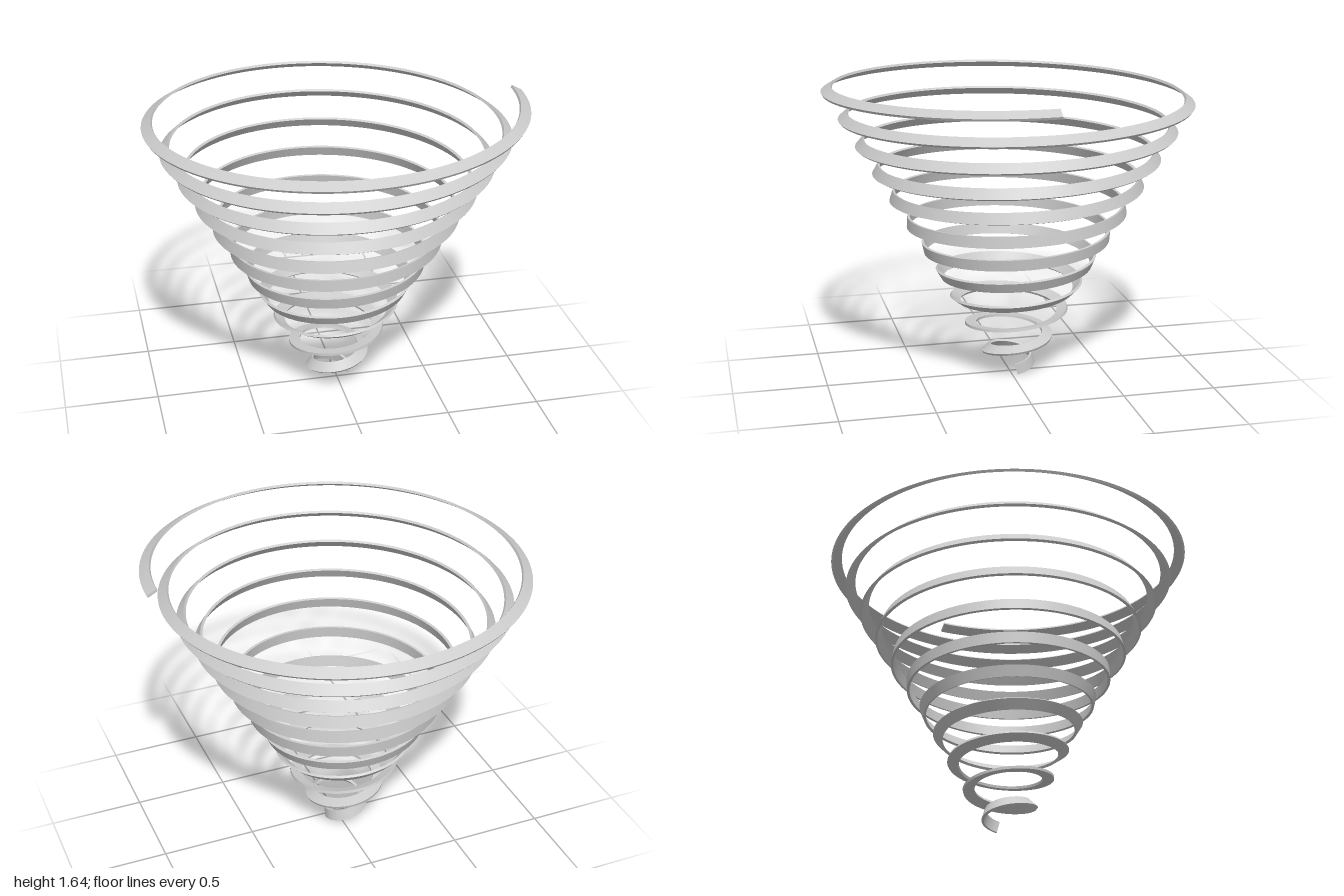
import * as THREE from 'three';
import { toCreasedNormals } from 'three/addons/utils/BufferGeometryUtils.js';

const TURNS = 11, R0 = 0.088, R1 = 0.99, Y0 = 0.03, Y1 = 1.62;
const STRIP_WIDTH = 0.06, STRIP_THICKNESS = 0.014;

// Conical helix, counterclockwise from above, widening as it climbs
class ConicalHelix extends THREE.Curve {
  getPoint(t, target = new THREE.Vector3()) {
    const angle = t * TURNS * Math.PI * 2;
    const r = THREE.MathUtils.lerp(R0, R1, t);
    return target.set(
      r * Math.cos(angle) - 0.021,
      THREE.MathUtils.lerp(Y0, Y1, t),
      -r * Math.sin(angle) - 0.021
    );
  }
}

export function createModel() {
  const group = new THREE.Group();
  group.name = 'conicalSpring';

  const path = new ConicalHelix();
  path.arcLengthDivisions = 4000;

  // Flat strip section; it starts upright and twists slowly along the path
  const w = STRIP_THICKNESS / 2, h = STRIP_WIDTH / 2;
  const section = new THREE.Shape([
    new THREE.Vector2(-w, -h), new THREE.Vector2(w, -h),
    new THREE.Vector2(w, h), new THREE.Vector2(-w, h)
  ]);
  const geometry = new THREE.ExtrudeGeometry(section, { steps: 1600, extrudePath: path });

  const coil = new THREE.Mesh(
    toCreasedNormals(geometry, 0.6),
    new THREE.MeshStandardMaterial({ color: 0xcccccc })
  );
  coil.name = 'coiledStrip';
  group.add(coil);
  return group;
}
